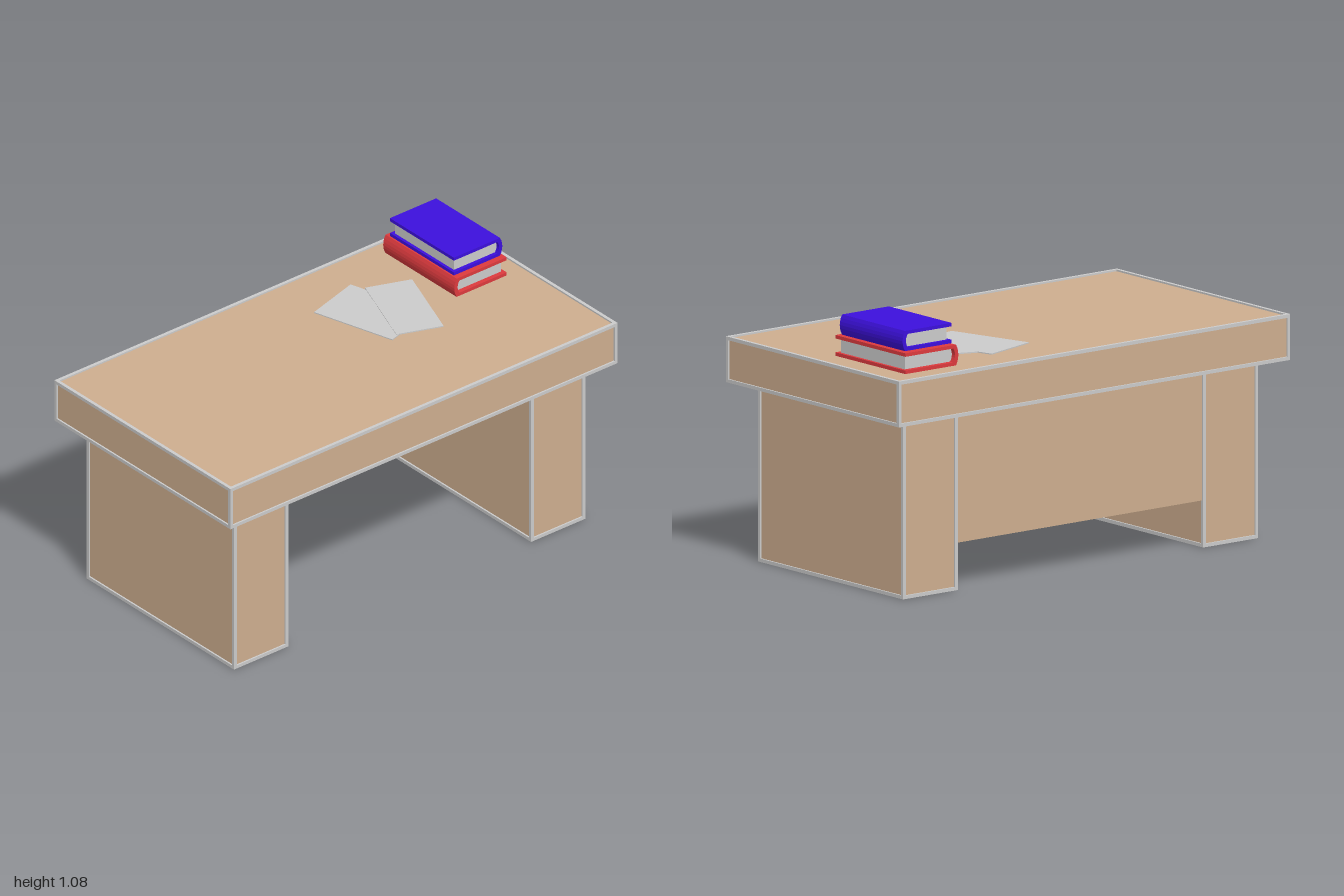
import * as THREE from 'three';

const material = (color) => new THREE.MeshStandardMaterial({ color });
const wood = material(0xceae8f);
const grey = material(0xcccccc);
const red = material(0xdd3a3e);
const blue = material(0x3c10dc);

// Box given by its minimum and maximum corners
function box(name, mat, min, max) {
  const size = max.map((v, i) => v - min[i]);
  const mesh = new THREE.Mesh(new THREE.BoxGeometry(...size), mat);
  mesh.position.set(...max.map((v, i) => (v + min[i]) / 2));
  mesh.name = name;
  return mesh;
}

// Wooden block with a thin grey bar along each of its twelve edges
function trimmedBlock(name, min, max, t = 0.007) {
  const group = new THREE.Group();
  group.name = name;
  group.add(box(name + 'Wood', wood, min, max));
  for (let axis = 0; axis < 3; axis++) {
    const b = (axis + 1) % 3, c = (axis + 2) % 3;
    for (const eb of [min[b], max[b]]) for (const ec of [min[c], max[c]]) {
      const lo = [0, 0, 0], hi = [0, 0, 0];
      lo[axis] = min[axis] - t; hi[axis] = max[axis] + t;
      lo[b] = eb - t; hi[b] = eb + t;
      lo[c] = ec - t; hi[c] = ec + t;
      group.add(box(name + 'Trim', grey, lo, hi));
    }
  }
  return group;
}

// Book lying flat, centred on x and z, with its rounded spine on -x
function book(name, mat, width, height, depth, inset) {
  const group = new THREE.Group();
  group.name = name;
  const w = width / 2, t = 0.014, bulge = 0.012;
  const s = new THREE.Shape();
  // C-shaped cover section
  s.moveTo(w, 0);
  s.lineTo(-w + bulge, 0);
  s.quadraticCurveTo(-w - bulge, height / 2, -w + bulge, height);
  s.lineTo(w, height);
  s.lineTo(w, height - t);
  s.lineTo(-w + bulge + t, height - t);
  s.quadraticCurveTo(-w + t - bulge / 2, height / 2, -w + bulge + t, t);
  s.lineTo(w, t);
  s.closePath();
  const geo = new THREE.ExtrudeGeometry(s, { depth, bevelEnabled: false, curveSegments: 6 });
  geo.translate(0, 0, -depth / 2);
  const cover = new THREE.Mesh(geo, mat);
  cover.name = name + 'Cover';
  group.add(cover);
  const pz = depth / 2 - inset;
  group.add(box(name + 'Pages', grey, [-w + t, t, -pz], [w - 0.013, height - t, pz]));
  return group;
}

export function createModel() {
  const model = new THREE.Group();
  model.name = 'desk';

  // Desk top and the two side pedestals
  model.add(trimmedBlock('deskTop', [-0.99, 0.731, -0.537], [0.99, 0.903, 0.537]));
  for (const [name, x] of [['rightLeg', -0.765], ['leftLeg', 0.765]]) {
    model.add(trimmedBlock(name, [x - 0.133, 0.007, -0.449], [x + 0.133, 0.73, 0.449]));
  }

  // Back panel between the pedestals
  model.add(box('backPanel', wood, [-0.635, 0.19, -0.449], [0.635, 0.73, -0.4]));
  model.add(box('backPanelTrim', grey, [-0.63, 0.183, -0.407], [0.63, 0.195, -0.395]));

  // Two books, spines facing opposite ways
  const lower = book('lowerBook', red, 0.27, 0.084, 0.44, 0.02);
  lower.position.set(0.757, 0.911, -0.235);
  const upper = book('upperBook', blue, 0.25, 0.082, 0.395, 0.015);
  upper.rotation.y = Math.PI;
  upper.position.set(0.763, 0.998, -0.235);
  model.add(lower, upper);

  // Overlapping sheets of paper: x, z, width, length, turn
  const sheets = [[0.305, -0.147, 0.257, 0.374, 0.28], [0.428, -0.092, 0.198, 0.378, -0.36]];
  sheets.forEach(([x, z, w, l, turn], i) => {
    const paper = new THREE.Mesh(new THREE.BoxGeometry(w, 0.005, l), grey);
    paper.name = 'paper' + (i + 1);
    paper.position.set(x, 0.905 + i * 0.002, z);
    paper.rotation.y = turn;
    model.add(paper);
  });
  return model;
}
